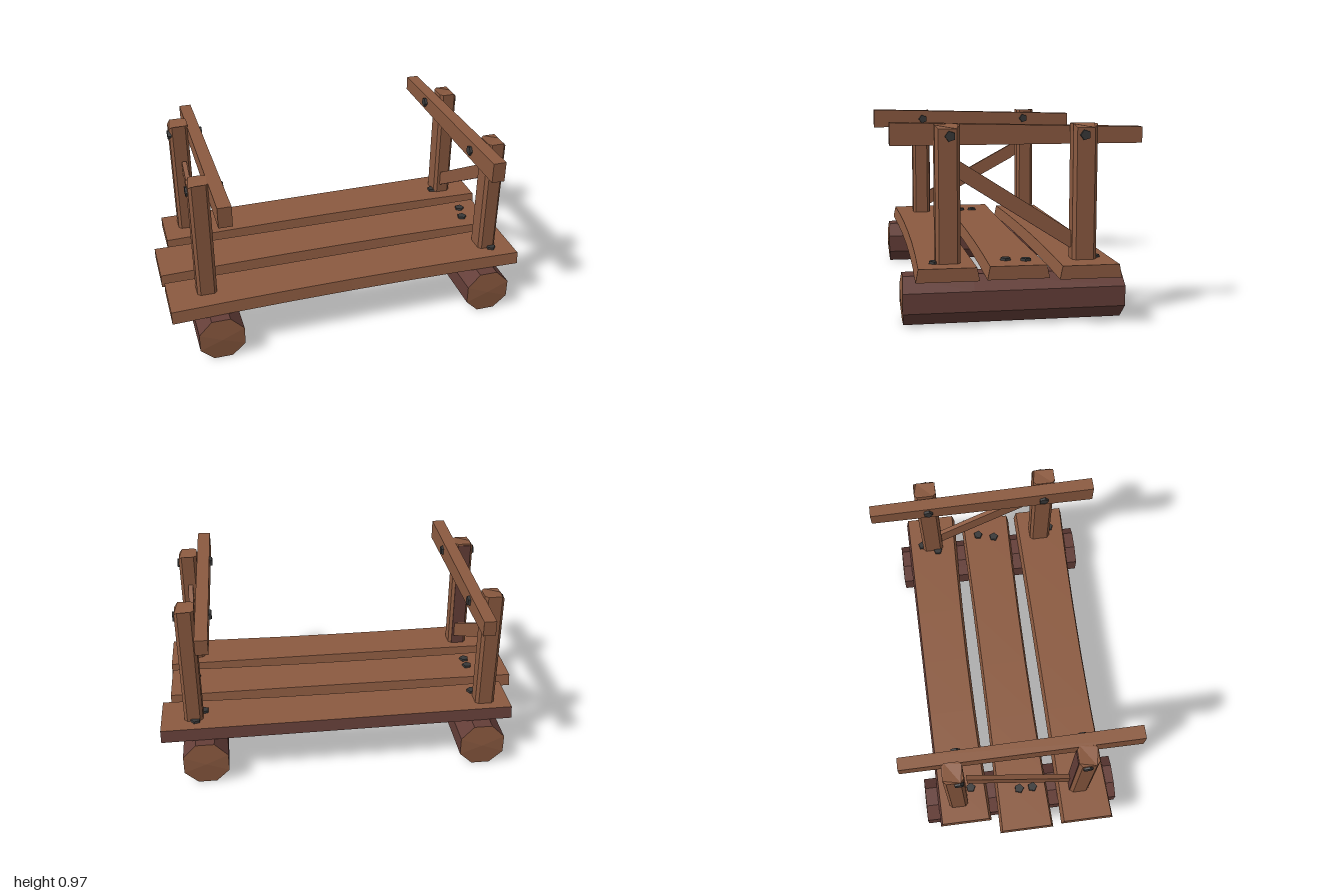
import * as THREE from 'three';

export function createModel() {
  const model = new THREE.Group();
  model.name = 'footbridge';
  const material = (name, color) => {
    const m = new THREE.MeshStandardMaterial({ color });
    m.name = name;
    return m;
  };
  const wood = material('wood', 0x8b5a40);
  const bark = material('bark', 0x643e38);
  const iron = material('iron', 0x383838);

  const add = (name, geometry, mat, parent = model) => {
    const mesh = new THREE.Mesh(geometry, mat);
    mesh.name = name;
    parent.add(mesh);
    return mesh;
  };
  // Move every vertex of a geometry by a rule, then facet it
  const reshape = (geometry, rule) => {
    const p = geometry.attributes.position;
    const v = new THREE.Vector3();
    for (let i = 0; i < p.count; i++) {
      rule(v.fromBufferAttribute(p, i));
      p.setXYZ(i, v.x, v.y, v.z);
    }
    geometry.computeVertexNormals();
    return geometry;
  };

  // Logs: eight-sided, bark around, cut wood on the ends
  const addLog = (x, back, front) => {
    const g = new THREE.CylinderGeometry(0.13, 0.13, front - back, 8, 2).toNonIndexed();
    const groups = new THREE.CylinderGeometry(0.13, 0.13, 1, 8, 2).groups;
    g.clearGroups();
    groups.forEach((s) => g.addGroup(s.start, s.count, s.materialIndex));
    g.rotateY(Math.PI / 8);
    g.rotateX(Math.PI / 2);
    reshape(g, (v) => {
      if (Math.abs(v.z) < 0.01) v.z = 0.2;
      // ends lean slightly outwards at mid height
      else v.z -= Math.sign(v.z) * Math.abs(v.y) * 0.08;
    });
    add('log', g, [bark, wood, wood]).position.set(x, 0.12, (front + back) / 2);
  };
  addLog(-0.745, -0.54, 0.555);
  addLog(0.765, -0.535, 0.565);

  // Deck planks: bevelled sides, hollowed by a gentle curve
  const addPlank = (name, x0, x1, z0, z1, bowBack, bowFront, skew, backMat) => {
    const g = new THREE.BoxGeometry(x1 - x0, 0.065, 1, 6, 1, 1).toNonIndexed();
    const source = new THREE.BoxGeometry(1, 1, 1, 6, 1, 1);
    g.clearGroups();
    source.groups.forEach((s) => g.addGroup(s.start, s.count, s.materialIndex));
    const half = (x1 - x0) / 2;
    reshape(g, (v) => {
      const t = v.x / half;
      const bow = 1 - t * t;
      const bevel = v.y > 0 ? 0.013 : 0;
      v.z = v.z > 0 ? z1 - bevel + bowFront * bow : z0 + bevel + bowBack * bow - skew * t;
    });
    add(name, g, [wood, wood, wood, wood, wood, backMat]).position.set((x0 + x1) / 2, 0.272, 0);
  };
  addPlank('frontPlank', -0.99, 0.965, 0.207, 0.505, 0.004, -0.02, 0.005, wood);
  addPlank('middlePlank', -1, 0.955, -0.135, 0.165, 0.006, -0.016, 0, wood);
  addPlank('backPlank', -0.92, 0.995, -0.47, -0.175, 0, -0.018, 0.008, bark);

  // Posts: square with trimmed corners, tops sloping outwards
  const addPost = (name, x, z, w, d) => {
    const c = 0.016, a = w / 2, b = d / 2;
    const shape = new THREE.Shape([
      [a - c, -b], [a, -b + c], [a, b - c], [a - c, b],
      [-a + c, b], [-a, b - c], [-a, -b + c], [-a + c, -b],
    ].map(([u, v]) => new THREE.Vector2(u, v)));
    const g = new THREE.ExtrudeGeometry(shape, { depth: 0.68, bevelEnabled: false });
    g.rotateX(-Math.PI / 2);
    const side = Math.sign(x);
    reshape(g, (v) => {
      if (v.y > 0.3 && v.x * side > a - 0.005) v.y -= 0.018;
    });
    add(name, g, wood).position.set(x, 0.285, z);
  };
  addPost('leftFrontPost', 0.82, 0.34, 0.1, 0.12);
  addPost('leftBackPost', 0.82, -0.327, 0.1, 0.12);
  addPost('rightFrontPost', -0.782, 0.335, 0.105, 0.105);
  addPost('rightBackPost', -0.782, -0.347, 0.105, 0.105);
  // Bark left on one face of a post
  add('postBark', new THREE.BoxGeometry(0.073, 0.65, 0.006), bark)
    .position.set(-0.782, 0.63, 0.2815);

  // Handrails: thinner towards the back
  const addRail = (x, z0, z1) => {
    const g = reshape(new THREE.BoxGeometry(0.07, 0.11, z1 - z0).toNonIndexed(), (v) => {
      if (v.z < 0) {
        if (v.y > 0) v.y -= 0.03;
        v.x *= 0.93;
      }
    });
    add('handrail', g, wood).position.set(x, 0.917, (z0 + z1) / 2);
  };
  addRail(0.731, -0.64, 0.605);
  addRail(-0.7, -0.615, 0.635);

  // Diagonal braces between the posts, running from back to front
  const addBrace = (x, yBack, yFront, underMat) => {
    const g = new THREE.BoxGeometry(0.026, 0.085, 0.58);
    const slope = (yFront - yBack) / 0.55;
    reshape(g, (v) => { v.y += v.z * slope; });
    add('brace', g.toNonIndexed(), wood).position.set(x, (yBack + yFront) / 2, 0.007);
    const under = new THREE.BoxGeometry(0.026, 0.004, 0.54);
    reshape(under, (v) => { v.y += v.z * slope; });
    add('braceUnderside', under, underMat).position.set(x, (yBack + yFront) / 2 - 0.044, 0.007);
  };
  addBrace(0.815, 0.4, 0.75, bark);
  addBrace(-0.77, 0.7, 0.4, wood);

  // Bolts: five-sided heads in the deck and through posts and rails
  const head = new THREE.CylinderGeometry(0.026, 0.028, 0.02, 5).toNonIndexed();
  head.computeVertexNormals();
  [
    [-0.775, 0], [-0.775, 0.075], [0.84, -0.04], [0.815, 0.055],
    [-0.735, -0.27], [0.84, 0.405], [0.81, -0.39], [0.765, -0.3],
  ].forEach(([x, z], i) => {
    const bolt = add('deckBolt', head, iron);
    bolt.position.set(x, 0.307, z);
    bolt.rotation.y = i * 1.3;
  });
  [
    [0.87, 1], [0.693, -1], [-0.835, -1], [-0.663, 1],
  ].forEach(([x, dir]) => {
    for (const z of [0.327, -0.322]) {
      const bolt = add('railBolt', head, iron);
      bolt.position.set(x, 0.912, z);
      bolt.rotation.z = -dir * Math.PI / 2;
    }
  });

  return model;
}
